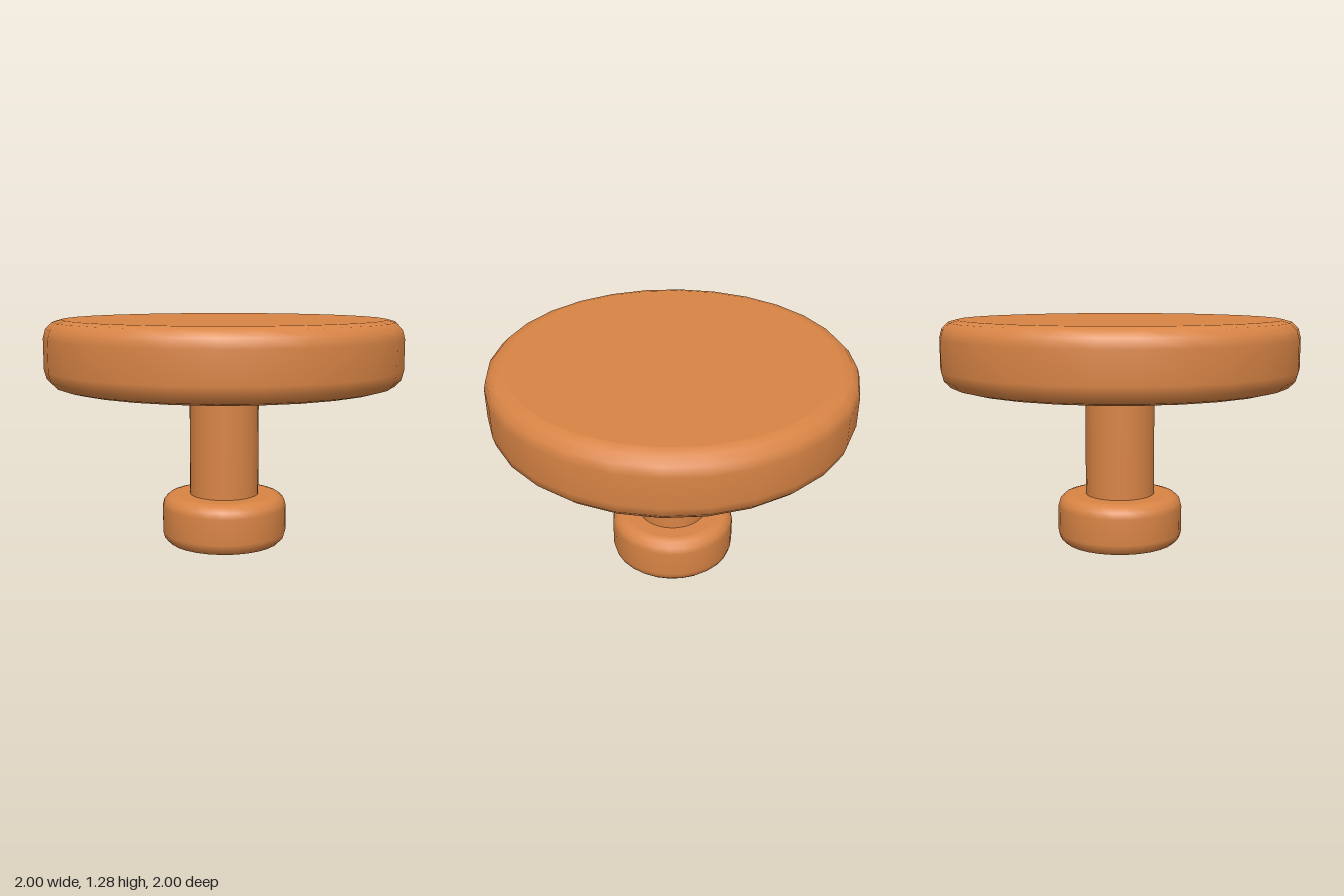
import * as THREE from 'three';

const SIDES = 28;

// Solid disc with rounded upper and lower rims
function roundedDisc(radius, bottom, top, bevel, steps = 3) {
  const inner = radius - bevel;
  const points = [new THREE.Vector2(0, bottom), new THREE.Vector2(inner - 0.005, bottom)];
  for (let i = 0; i <= steps; i++) {
    const a = (i / steps) * Math.PI / 2;
    points.push(new THREE.Vector2(inner + bevel * Math.sin(a), bottom + bevel * (1 - Math.cos(a))));
  }
  for (let i = 0; i <= steps; i++) {
    const a = (i / steps) * Math.PI / 2;
    points.push(new THREE.Vector2(inner + bevel * Math.cos(a), top - bevel * (1 - Math.sin(a))));
  }
  points.push(new THREE.Vector2(inner - 0.005, top), new THREE.Vector2(0, top));
  return new THREE.LatheGeometry(points, SIDES);
}

export function createModel() {
  const model = new THREE.Group();
  model.name = 'pedestalTable';
  const wood = new THREE.MeshStandardMaterial({ color: 0xd88445 });
  wood.name = 'warmWood';

  const add = (name, geometry, y = 0) => {
    const mesh = new THREE.Mesh(geometry, wood);
    mesh.name = name;
    mesh.position.y = y;
    model.add(mesh);
  };

  // Wide round top
  add('tableTop', roundedDisc(1, 0.915, 1.285, 0.1));
  // Central column, running between foot and top
  add('stem', new THREE.CylinderGeometry(0.197, 0.197, 0.65, SIDES), 0.6);
  // Small round foot
  add('foot', roundedDisc(0.356, 0, 0.285, 0.07));

  return model;
}
